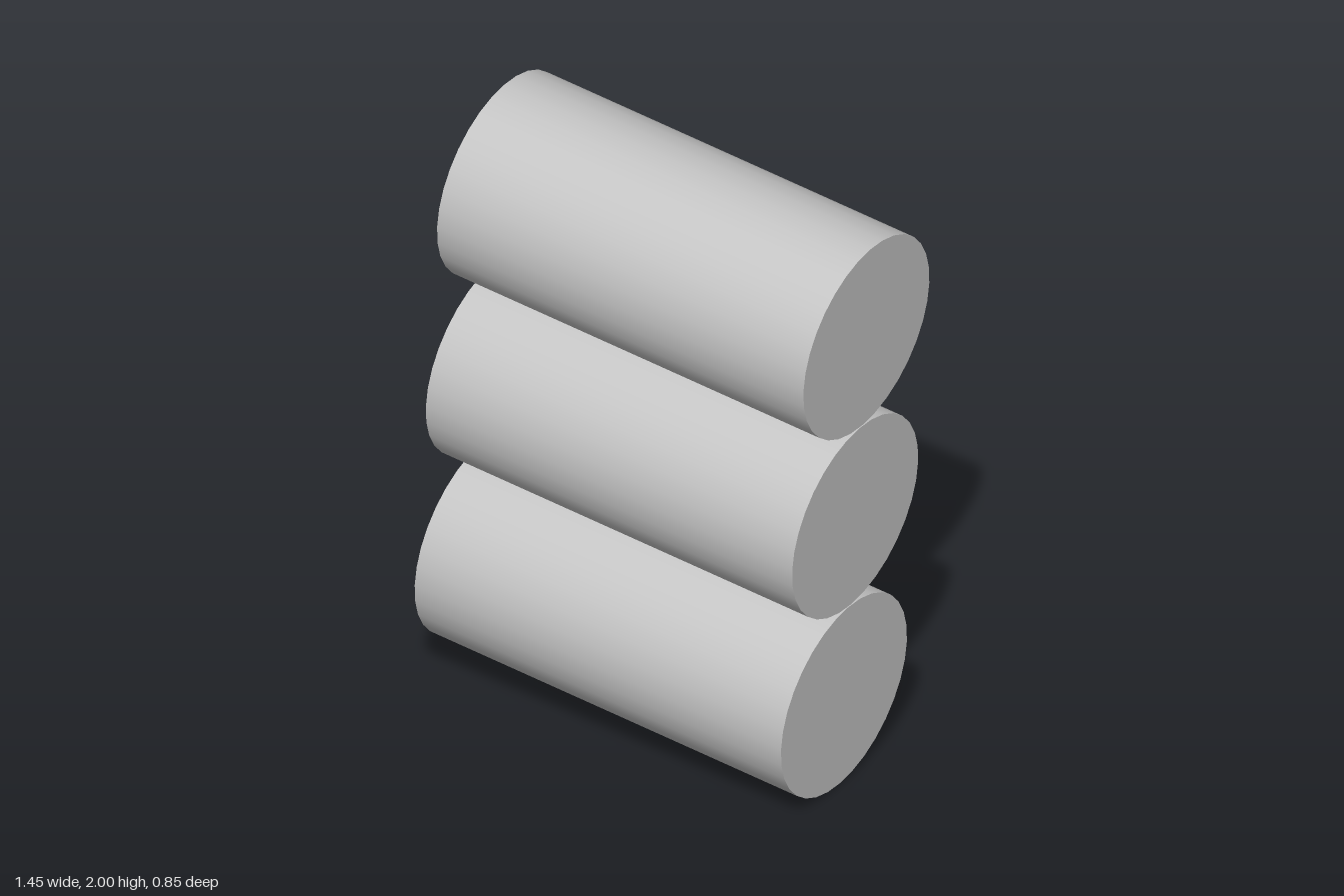
import * as THREE from 'three';

// Three identical tilted cylinders stacked touching one another
export function createModel() {
  const model = new THREE.Group();
  model.name = 'cylinderStack';

  const grey = new THREE.MeshStandardMaterial({ color: 0xc4c4c4 });
  grey.name = 'light grey';

  const halfAxis = new THREE.Vector3(0.63, -0.041, -0.106);
  const spacing = new THREE.Vector3(0.04, 0.64, -0.005);
  const geometry = new THREE.CylinderGeometry(0.32, 0.32, halfAxis.length() * 2, 32);
  const tilt = new THREE.Quaternion().setFromUnitVectors(
    new THREE.Vector3(0, 1, 0), halfAxis.clone().normalize());

  ['bottomCylinder', 'middleCylinder', 'topCylinder'].forEach((name, i) => {
    const cylinder = new THREE.Mesh(geometry, grey);
    cylinder.name = name;
    cylinder.quaternion.copy(tilt);
    cylinder.position.set(0, 1, 0).addScaledVector(spacing, i - 1);
    model.add(cylinder);
  });
  return model;
}
